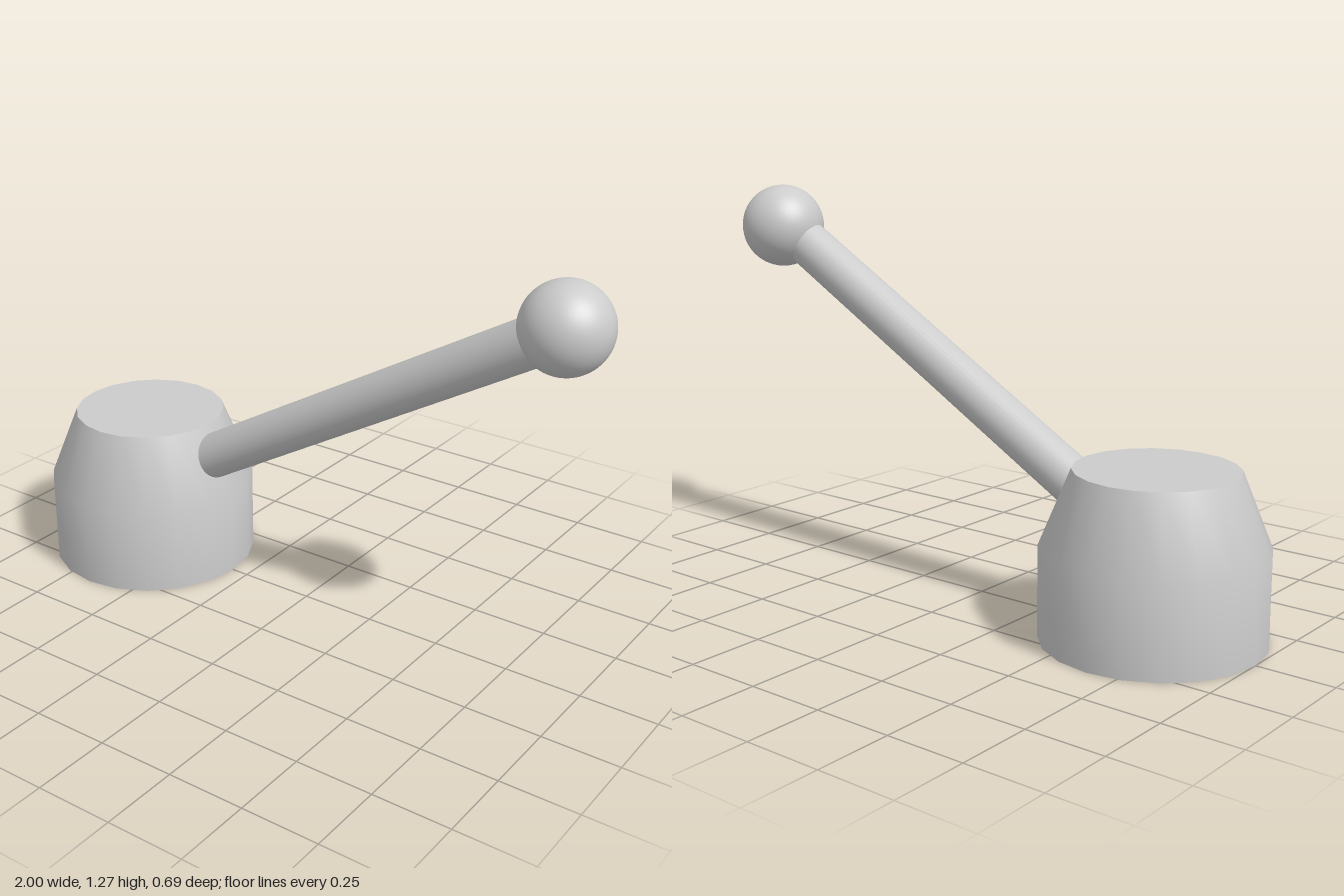
import * as THREE from 'three';

const material = new THREE.MeshStandardMaterial({ color: 0xcccccc });

function addPart(group, name, geometry, x, y, z) {
  const mesh = new THREE.Mesh(geometry, material);
  mesh.name = name;
  mesh.position.set(x, y, z);
  group.add(mesh);
  return mesh;
}

export function createModel() {
  const group = new THREE.Group();
  group.name = 'leverWithKnob';

  // Hub: straight lower drum with a tapered shoulder, 20 sides
  const hub = new THREE.Group();
  hub.name = 'hub';
  hub.position.x = -0.655;
  group.add(hub);
  const sides = 20, rBase = 0.345, rTop = 0.25, yShoulder = 0.285, yTop = 0.52;
  const wall = new THREE.LatheGeometry([
    new THREE.Vector2(rBase, 0),
    new THREE.Vector2(rBase, yShoulder),
    new THREE.Vector2(rTop, yTop),
  ], sides);
  addPart(hub, 'hubWall', wall, 0, 0, 0);
  addPart(hub, 'hubTop', new THREE.CircleGeometry(rTop, sides).rotateX(-Math.PI / 2), 0, yTop, 0);
  addPart(hub, 'hubBottom', new THREE.CircleGeometry(rBase, sides).rotateX(Math.PI / 2), 0, 0, 0);

  // Arm: round rod rising at 30 degrees from inside the hub to the knob
  const start = new THREE.Vector3(-0.5, 0.345, 0.005);
  const end = new THREE.Vector3(0.83, 1.113, 0.005);
  const dir = end.clone().sub(start);
  const mid = start.clone().add(end).multiplyScalar(0.5);
  const arm = addPart(group, 'arm', new THREE.CylinderGeometry(0.075, 0.075, dir.length(), 32), mid.x, mid.y, mid.z);
  arm.quaternion.setFromUnitVectors(new THREE.Vector3(0, 1, 0), dir.normalize());

  // Ball knob
  addPart(group, 'knob', new THREE.SphereGeometry(0.138, 48, 32), 0.862, 1.133, -0.016);

  return group;
}
